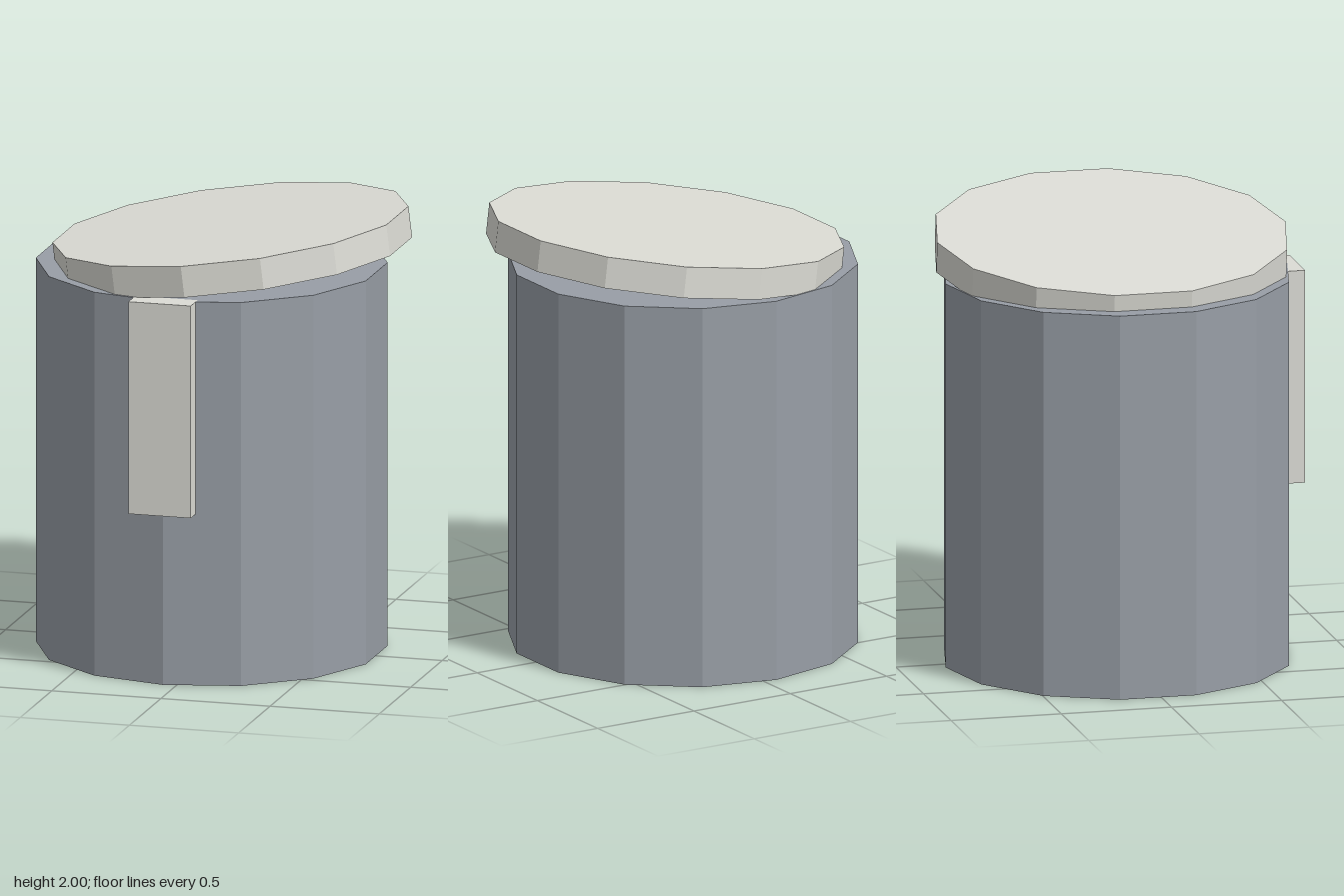
import * as THREE from 'three';

const SIDES = 14;

export function createModel() {
  const group = new THREE.Group();
  const steel = new THREE.MeshStandardMaterial({ color: 0x989ea6, flatShading: true });
  const pale = new THREE.MeshStandardMaterial({ color: 0xdcdcd5, flatShading: true });

  const add = (name, geometry, material, x, y, z) => {
    const mesh = new THREE.Mesh(geometry, material);
    mesh.name = name;
    mesh.position.set(x, y, z);
    group.add(mesh);
    return mesh;
  };

  // Faceted body standing on the ground
  add('body', new THREE.CylinderGeometry(0.775, 0.775, 1.74, SIDES), steel, -0.06, 0.87, -0.014);

  // Disc lid, tipped up on the left and sunk into the body on the right
  const lid = add('lid', new THREE.CylinderGeometry(0.79, 0.79, 0.141, SIDES), pale, 0.034, 1.838, -0.016);
  lid.rotation.z = 0.121;

  // Upright strip on the front, flush with the rim
  add('frontStrip', new THREE.BoxGeometry(0.285, 0.963, 0.11), pale, -0.062, 1.2585, 0.751);

  return group;
}
